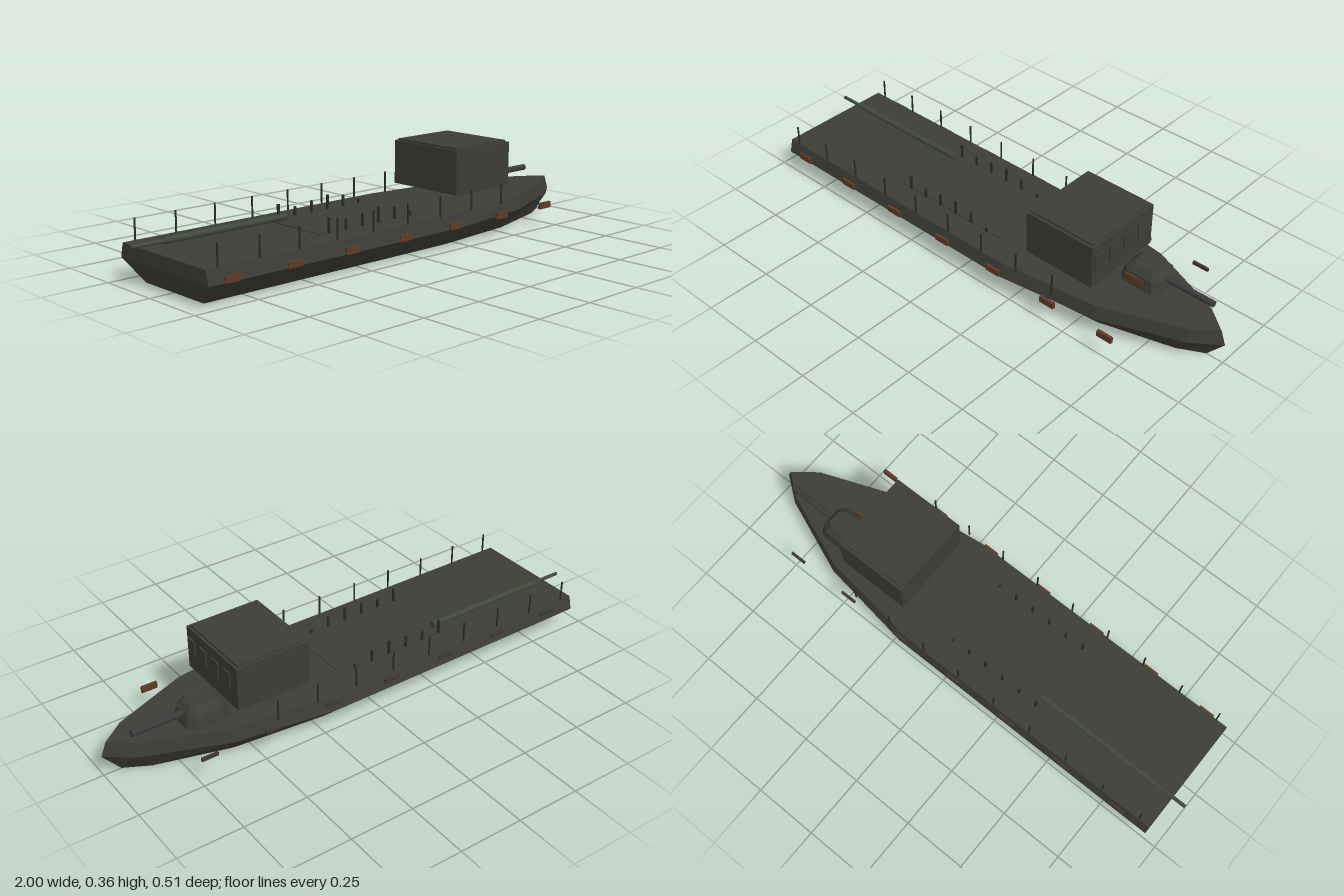
import * as THREE from 'three';

const mat = (name, color, side = THREE.FrontSide) => {
  const m = new THREE.MeshStandardMaterial({ color, side, flatShading: true });
  m.name = name;
  return m;
};

// Flat-faced surface joining rings of [x,y,z] points, open below and capped on top
function loftRings(rings) {
  const pos = [];
  const n = rings[0].length;
  const tri = (a, b, c) => pos.push(...a, ...b, ...c);
  for (let r = 0; r < rings.length - 1; r++) {
    for (let i = 0; i < n; i++) {
      const j = (i + 1) % n;
      const [a, b, c, d] = [rings[r][i], rings[r][j], rings[r + 1][j], rings[r + 1][i]];
      tri(a, b, c);
      tri(a, c, d);
    }
  }
  const top = rings[rings.length - 1];
  for (let i = 1; i < n - 1; i++) tri(top[0], top[i], top[i + 1]);
  const g = new THREE.BufferGeometry();
  g.setAttribute('position', new THREE.Float32BufferAttribute(pos, 3));
  g.computeVertexNormals();
  return g;
}

// Waterline outline from half-widths, mirrored about the keel, counter-clockwise from above
function outline(y, half) {
  const left = half.map(([x, w]) => [x, y, w]);
  const right = half.slice(0, -1).reverse().map(([x, w]) => [x, y, -w]);
  return [...left, ...right];
}

// Chamfered rectangle ring
function chamferRing(y, x0, x1, z0, z1, c) {
  return [
    [x0, y, z1 - c], [x0 + c, y, z1], [x1 - c, y, z1], [x1, y, z1 - c],
    [x1, y, z0 + c], [x1 - c, y, z0], [x0 + c, y, z0], [x0, y, z0 + c],
  ];
}

export function createModel() {
  const model = new THREE.Group();
  model.name = 'patrolBarge';

  const hullPaint = mat('hull olive grey', 0x3c3d36, THREE.DoubleSide);
  const railPaint = mat('rail dark grey', 0x2b2d28);
  const rust = mat('rust', 0x5e3a26);
  const darkPlate = mat('dark plate', 0x3f3832);
  const pipePaint = mat('pipe green', 0x40473b);
  const gunMetal = mat('gun metal', 0x3b3a3a);

  const add = (name, geometry, material, x = 0, y = 0, z = 0) => {
    const m = new THREE.Mesh(geometry, material);
    m.name = name;
    m.position.set(x, y, z);
    model.add(m);
  };
  const box = (name, material, sx, sy, sz, x, y, z) =>
    add(name, new THREE.BoxGeometry(sx, sy, sz), material, x, y, z);
  // Cylinder lying along x from x0 to x1
  const rod = (name, material, r, x0, x1, y, z) => {
    const g = new THREE.CylinderGeometry(r, r, x1 - x0, 12).rotateZ(Math.PI / 2);
    add(name, g, material, (x0 + x1) / 2, y, z);
  };

  // Hull shell, open underneath: bottom rim, chine and deck outlines
  add('hull', loftRings([
    outline(0, [[-0.905, 0.165], [0.2, 0.165], [0.56, 0.13], [0.84, 0.05], [0.933, 0]]),
    outline(0.08, [[-0.945, 0.25], [0.21, 0.25], [0.59, 0.197], [0.9, 0.075], [1, 0]]),
    outline(0.133, [[-0.945, 0.237], [0.2, 0.237], [0.59, 0.187], [0.89, 0.07], [0.98, 0]]),
  ]), hullPaint);

  // Cargo hatch with stakes of uneven height down both sides
  box('cargoHatch', hullPaint, 0.5, 0.006, 0.276, -0.145, 0.133, 0.002);
  [0.19, 0.17, 0.18, 0.19, 0.178, 0.15].forEach((top, i) => {
    for (const z of [0.141, -0.138]) {
      box('hatchStake', railPaint, 0.008, top - 0.13, 0.008, -0.353 + i * 0.0785, (top + 0.13) / 2, z);
    }
  });

  // Railing posts
  for (let i = 0; i < 9; i++) {
    for (const z of [0.236, -0.233]) {
      box('railPost', railPaint, 0.005, 0.08, 0.005, -0.898 + i / 6, 0.172, z);
    }
  }

  // Side plates: rusty to the left, dark to the right
  for (let i = 0; i < 7; i++) {
    box('leftSidePlate', rust, 0.062, 0.024, 0.012, -0.851 + i * 0.2555, 0.091, 0.248);
    box('rightSidePlate', darkPlate, 0.065, 0.013, 0.009, -0.813 + i * 0.2555, 0.113, -0.248);
  }

  // Wheelhouse
  box('wheelhouse', hullPaint, 0.295, 0.171, 0.333, 0.405, 0.2645, 0.0015);
  box('wheelhouseRoof', hullPaint, 0.275, 0.008, 0.311, 0.405, 0.353, 0.0015);
  for (let i = 0; i < 4; i++) {
    box('wheelhouseWindow', hullPaint, 0.008, 0.066, 0.042, 0.5545, 0.279, 0.134 - i * 0.0783);
  }

  // Gun turret on the foredeck
  add('turret', loftRings([
    chamferRing(0.128, 0.547, 0.724, -0.126, 0.018, 0.025),
    chamferRing(0.181, 0.56, 0.712, -0.117, 0.01, 0.025),
    chamferRing(0.205, 0.587, 0.692, -0.095, -0.013, 0.018),
  ]), hullPaint);
  box('turretSidePlate', rust, 0.08, 0.032, 0.006, 0.622, 0.162, 0.02);
  rod('turretBarrel', gunMetal, 0.0125, 0.69, 0.907, 0.172, -0.054);

  // Long boom lying on the aft deck
  rod('boom', pipePaint, 0.007, -1, -0.36, 0.151, -0.1);
  rod('boomSleeve', pipePaint, 0.012, -0.87, -0.353, 0.151, -0.1);

  return model;
}
